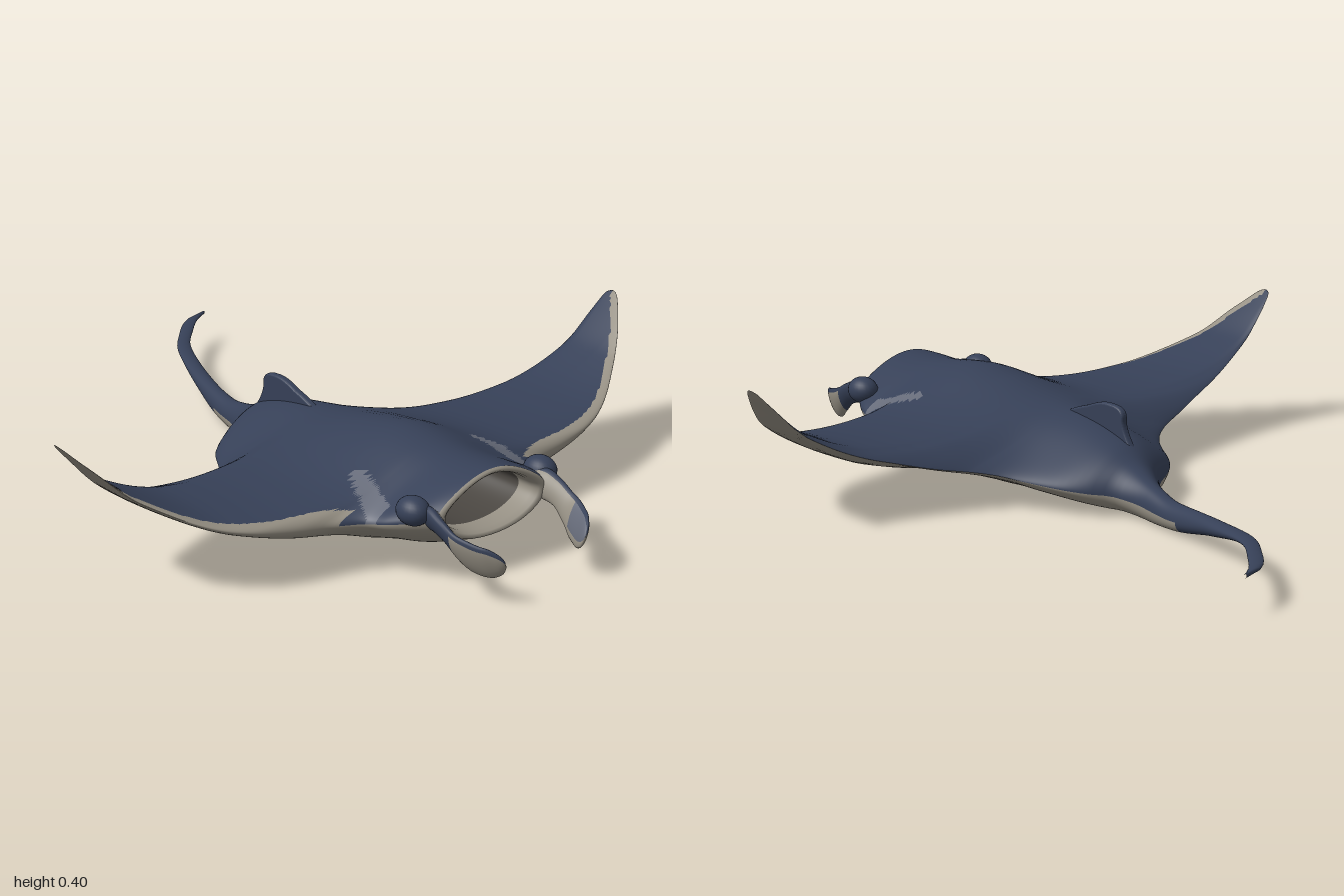
import * as THREE from 'three';

const mat = (name, color, side = THREE.FrontSide) => {
  const m = new THREE.MeshStandardMaterial({ color, side });
  m.name = name;
  return m;
};

// Smooth, overshoot-free curve through [x, y] points sorted by rising x
function curve(pts) {
  const n = pts.length, slope = [], tan = [];
  for (let i = 0; i < n - 1; i++) slope.push((pts[i + 1][1] - pts[i][1]) / (pts[i + 1][0] - pts[i][0]));
  for (let i = 0; i < n; i++) {
    const a = slope[Math.max(i - 1, 0)], b = slope[Math.min(i, n - 2)];
    tan.push(a * b <= 0 ? 0 : (2 * a * b) / (a + b));
  }
  return (x) => {
    if (x <= pts[0][0]) return pts[0][1];
    if (x >= pts[n - 1][0]) return pts[n - 1][1];
    let i = 0;
    while (x > pts[i + 1][0]) i++;
    const w = pts[i + 1][0] - pts[i][0], t = (x - pts[i][0]) / w, t2 = t * t, t3 = t2 * t;
    return (2 * t3 - 3 * t2 + 1) * pts[i][1] + (t3 - 2 * t2 + t) * w * tan[i]
      + (3 * t2 - 2 * t3) * pts[i + 1][1] + (t3 - t2) * w * tan[i + 1];
  };
}

// Skin closed rings; pick(centre, i, j) chooses the material of each face
function loft(name, rings, mats, pick, flip = false) {
  const n = rings[0].length, buckets = mats.map(() => []), pos = [];
  rings.forEach((r) => r.forEach((p) => pos.push(p.x, p.y, p.z)));
  for (let i = 0; i < rings.length - 1; i++) {
    for (let j = 0; j < n; j++) {
      const k = (j + 1) % n, a = i * n + j, b = i * n + k, c = a + n, d = b + n;
      const mid = rings[i][j].clone().add(rings[i + 1][k]).multiplyScalar(0.5);
      buckets[pick(mid, i, j)].push(...(flip ? [a, b, c, b, d, c] : [a, c, b, b, c, d]));
    }
  }
  const g = new THREE.BufferGeometry();
  g.setAttribute('position', new THREE.Float32BufferAttribute(pos, 3));
  g.setIndex(buckets.flat());
  let start = 0;
  buckets.forEach((b, m) => { g.addGroup(start, b.length, m); start += b.length; });
  g.computeVertexNormals();
  const mesh = new THREE.Mesh(g, mats);
  mesh.name = name;
  return mesh;
}

// Planform half-width, centre line, top and bottom profile, all along z
const halfWidth = curve([[-1, 0.006], [-0.98, 0.025], [-0.93, 0.026], [-0.8, 0.024], [-0.6, 0.027], [-0.4, 0.034],
  [-0.3, 0.042], [-0.2, 0.085], [-0.15, 0.15], [-0.1, 0.198], [0, 0.255], [0.05, 0.29], [0.1, 0.36], [0.15, 0.5],
  [0.18, 0.6], [0.205, 0.7], [0.225, 0.8], [0.237, 0.89], [0.25, 0.935], [0.27, 0.942], [0.34, 0.895], [0.45, 0.765],
  [0.52, 0.66], [0.56, 0.56], [0.58, 0.46], [0.6, 0.36], [0.65, 0.278], [0.7, 0.258], [0.76, 0.22], [0.8, 0.185]]);
const centreX = curve([[-1, 0.445], [-0.98, 0.395], [-0.95, 0.355], [-0.9, 0.307], [-0.8, 0.224], [-0.7, 0.177],
  [-0.5, 0.11], [-0.3, 0.063], [-0.2, 0.035], [-0.1, 0.012], [0, 0.003], [0.1, 0]]);
const topY = curve([[-1, 0.104], [-0.8, 0.1], [-0.6, 0.088], [-0.4, 0.08], [-0.3, 0.098], [-0.2, 0.135], [-0.13, 0.175],
  [0, 0.212], [0.2, 0.24], [0.35, 0.27], [0.48, 0.287], [0.7, 0.268], [0.8, 0.272]]);
const bottomY = curve([[-1, 0.093], [-0.8, 0.082], [-0.6, 0.045], [-0.4, 0.006], [-0.3, 0.001], [0, 0.012],
  [0.4, 0.024], [0.6, 0.042], [0.7, 0.058], [0.8, 0.092]]);
// Wing height and half-thickness outward, plus height shift along z
const wingY = curve([[0, 0.14], [0.3, 0.14], [0.4, 0.143], [0.6, 0.172], [0.8, 0.26], [0.9, 0.355], [0.943, 0.402]]);
const wingThick = curve([[0, 0.045], [0.35, 0.045], [0.6, 0.034], [0.8, 0.026], [0.943, 0.012]]);
const shiftY = curve([[-1, -0.042], [-0.8, -0.048], [-0.6, -0.072], [-0.4, -0.099], [-0.25, -0.087], [-0.1, -0.066],
  [0, -0.055], [0.1, -0.03], [0.2, 0], [0.6, 0], [0.8, 0.035]]);
const edgePower = curve([[-0.3, 1], [0, 1.3], [0.15, 1.6], [0.22, 1.4], [0.35, 1]]);

const SEG = 176;
function bodyRing(z) {
  const w = halfWidth(z), T = topY(z), B = bottomY(z);
  return Array.from({ length: SEG }, (_, j) => {
    const a = (j / SEG) * Math.PI * 2, x = w * Math.cos(a), ax = Math.abs(x), up = Math.sin(a) >= 0;
    const c = wingY(ax) + shiftY(z), c0 = wingY(0) + shiftY(z);
    const round = Math.pow(Math.abs(Math.sin(a)), edgePower(z));
    const reach = up ? T - c0 : c0 - B;
    const h = Math.min(wingThick(ax), 0.5 * reach);
    const bulge = up ? Math.exp(-((ax / 0.2) ** 2)) : Math.exp(-((ax / 0.27) ** 4));
    const d = round * (h + (reach - h) * bulge);
    return new THREE.Vector3(centreX(z) + x, up ? c + d : c - d, z);
  });
}

export function createModel() {
  const group = new THREE.Group();
  const navy = mat('navy back', 0x364057);
  const cream = mat('pale belly', 0x969084);
  const grey = mat('grey shoulder', 0x666b79);
  const dark = mat('dark mouth', 0x4a4641);
  const mats = [navy, cream, grey, dark];

  // Body, wings and tail in one skin
  const zs = [];
  for (let i = 0; i <= 140; i++) zs.push(0.8 - i * 0.005);
  for (let i = 1; i <= 55; i++) zs.push(0.1 - i * 0.02);
  group.add(loft('body', zs.map(bodyRing), mats, (p, i, j) => {
    const x = Math.abs(p.x), z = p.z;
    if (j >= SEG / 2) return z > -0.45 ? 1 : 0;
    if (z > 0.27 && z < 0.61 && x > 0.29 && x > halfWidth(z + 0.03)) return 1;
    const u = (z - 0.5) / 0.17;
    if (u > 0 && u < 1 && Math.abs(x - 0.2 - 0.055 * u) < 0.012 + 0.022 * Math.sqrt(u)) return 2;
    return 0;
  }));

  // Mouth: throat tunnel running forward to the rounded lip
  const rim = bodyRing(0.8);
  const mouthRing = ([z, s]) => rim.map((p) => new THREE.Vector3(p.x * s, 0.18 + (p.y - 0.18) * s, z));
  const steps = [[0.35, 0.001], [0.36, 0.3], [0.45, 0.6], [0.6, 0.76], [0.74, 0.8], [0.785, 0.81],
    [0.803, 0.85], [0.809, 0.91], [0.806, 0.97], [0.8, 1]];
  group.add(loft('mouth', steps.map(mouthRing), mats, (p, i) => (i < 4 ? 3 : 1)));

  // Dorsal fin
  const fin = new THREE.Shape();
  fin.moveTo(0.16, 0.19);
  fin.quadraticCurveTo(0.08, 0.23, 0.02, 0.245);
  fin.quadraticCurveTo(-0.03, 0.268, -0.07, 0.263);
  fin.quadraticCurveTo(-0.112, 0.262, -0.11, 0.235);
  fin.quadraticCurveTo(-0.108, 0.2, -0.15, 0.15);
  fin.lineTo(0.05, 0.13);
  const finGeo = new THREE.ExtrudeGeometry(fin, {
    depth: 0.006, bevelEnabled: true, bevelThickness: 0.008, bevelSize: 0.006, bevelSegments: 4, curveSegments: 10,
  });
  finGeo.translate(0, 0, -0.003).rotateY(-Math.PI / 2);
  const dorsal = new THREE.Mesh(finGeo, navy);
  dorsal.name = 'dorsalFin';
  group.add(dorsal);

  // Head fins: curled paddles, [x, y, z, half-height, half-thickness]
  const path = [[0.18, 0.18, 0.74, 0.035, 0.02], [0.187, 0.18, 0.79, 0.036, 0.022], [0.193, 0.166, 0.84, 0.032, 0.017],
    [0.19, 0.14, 0.88, 0.038, 0.015], [0.178, 0.122, 0.92, 0.046, 0.015], [0.16, 0.115, 0.96, 0.044, 0.014],
    [0.145, 0.115, 0.985, 0.032, 0.011], [0.138, 0.117, 0.997, 0.015, 0.006], [0.136, 0.118, 1, 0.001, 0.001]];
  const along = [0, 1, 2, 3, 4].map((k) => curve(path.map((p) => [p[2], p[k]])));
  const spots = Array.from({ length: 33 }, (_, i) => 0.74 + 0.26 * Math.sin((i / 32) * Math.PI / 2));
  for (const side of [1, -1]) {
    const label = side > 0 ? 'left' : 'right';
    const rings = spots.map((z) => Array.from({ length: 24 }, (_, j) => {
      const a = (j / 24) * Math.PI * 2, up = Math.sin(a) * along[3](z), out = Math.cos(a) * along[4](z);
      return new THREE.Vector3(side * (along[0](z) + out + up * 0.35), along[1](z) + up, z);
    }));
    group.add(loft(label + 'HeadFin', rings, mats, (p, i, j) => {
      const outer = j < 8 || j >= 18;
      if (outer) return p.z < 0.87 || (j > 2 && j < 8) ? 0 : 1;
      return p.z > 0.9 && j < 14 ? 2 : 1;
    }, side > 0));

    // Eye bulge
    const eye = new THREE.Mesh(new THREE.SphereGeometry(0.042, 24, 16), navy);
    eye.scale.set(0.95, 0.9, 1.15);
    eye.position.set(side * 0.215, 0.197, 0.748);
    eye.name = label + 'Eye';
    group.add(eye);
  }
  return group;
}
